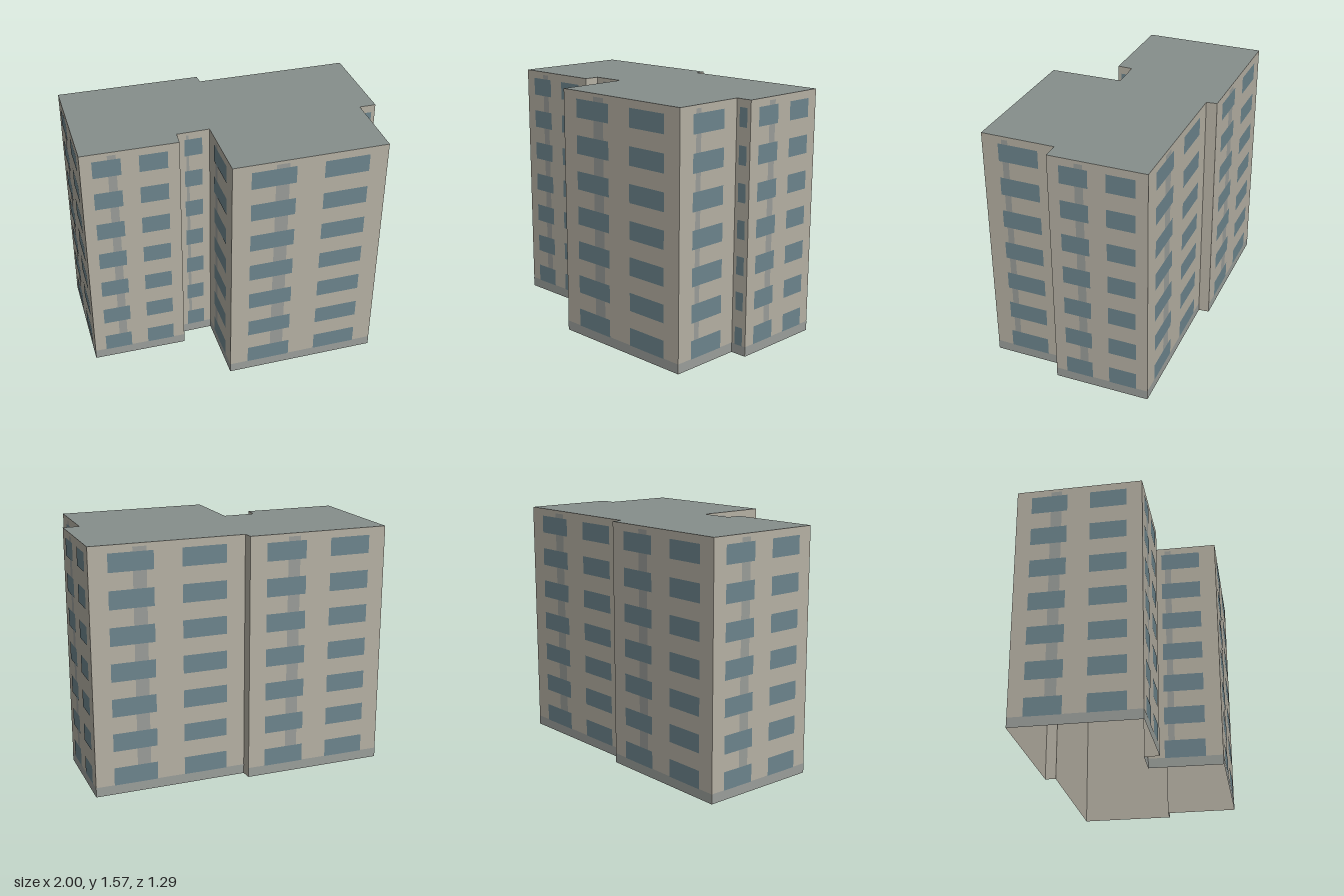
import * as THREE from 'three';

const HEIGHT = 1.565;
const FLOORS = 7;
const STOREY = HEIGHT / FLOORS;

// Footprint corners (x, z), running left to right as seen from outside each wall
const FOOTPRINT = [
  [-1, -0.305], [-0.835, 0.46], [-0.245, 0.33], [-0.26, 0.235],
  [-0.06, 0.185], [0.045, 0.642], [0.99, 0.425], [0.893, -0.032],
  [0.995, -0.055], [0.865, -0.648], [-0.088, -0.435], [-0.108, -0.5],
];

const paint = (color, side = THREE.FrontSide) =>
  new THREE.MeshStandardMaterial({ color, side });

export function createModel() {
  const model = new THREE.Group();
  model.name = 'apartmentBlock';

  const wallMat = paint(0xb5b0a3, THREE.DoubleSide);
  const roofMat = paint(0x868e8b, THREE.DoubleSide);
  const glassMat = paint(0x6c848c);
  const stripeMat = paint(0x999c98);
  const plinthMat = paint(0x9a9e9a);

  // Flat panel in wall coordinates: x along the wall, y up, z out of it
  function panel(name, material, x0, x1, y0, y1, depth) {
    const mesh = new THREE.Mesh(new THREE.PlaneGeometry(x1 - x0, y1 - y0), material);
    mesh.position.set((x0 + x1) / 2, (y0 + y1) / 2, depth);
    mesh.name = name;
    return mesh;
  }

  // One facade per footprint edge
  FOOTPRINT.forEach(([ax, az], i) => {
    const [bx, bz] = FOOTPRINT[(i + 1) % FOOTPRINT.length];
    const length = Math.hypot(bx - ax, bz - az);
    const facade = new THREE.Group();
    facade.name = 'facade';
    facade.position.set(ax, 0, az);
    facade.rotation.y = Math.atan2(az - bz, bx - ax);
    facade.add(panel('wall', wallMat, 0, length, 0, HEIGHT, 0));
    model.add(facade);
    if (length < 0.08) return; // the smallest return wall is blank

    facade.add(panel('plinth', plinthMat, 0, length, 0, 0.062, 0.001));
    if (length > 0.15) {
      facade.add(panel('verticalStripe', stripeMat,
        0.275 * length, 0.362 * length, 0.062, 1.545, 0.001));
    }

    // Long walls carry two windows per storey, short ones a single window
    const bays = length > 0.5 ? [[0.12, 0.407], [0.588, 0.878]] : [[0.225, 0.77]];
    for (let floor = 0; floor < FLOORS; floor++) {
      const sill = floor * STOREY + 0.06;
      for (const [u0, u1] of bays) {
        facade.add(panel('window', glassMat,
          u0 * length, u1 * length, sill, sill + 0.115, 0.002));
      }
    }
  });

  // Flat roof following the footprint
  const outline = new THREE.Shape(FOOTPRINT.map(([x, z]) => new THREE.Vector2(x, -z)));
  const roof = new THREE.Mesh(new THREE.ShapeGeometry(outline), roofMat);
  roof.rotation.x = -Math.PI / 2;
  roof.position.y = HEIGHT;
  roof.name = 'roof';
  model.add(roof);

  return model;
}
